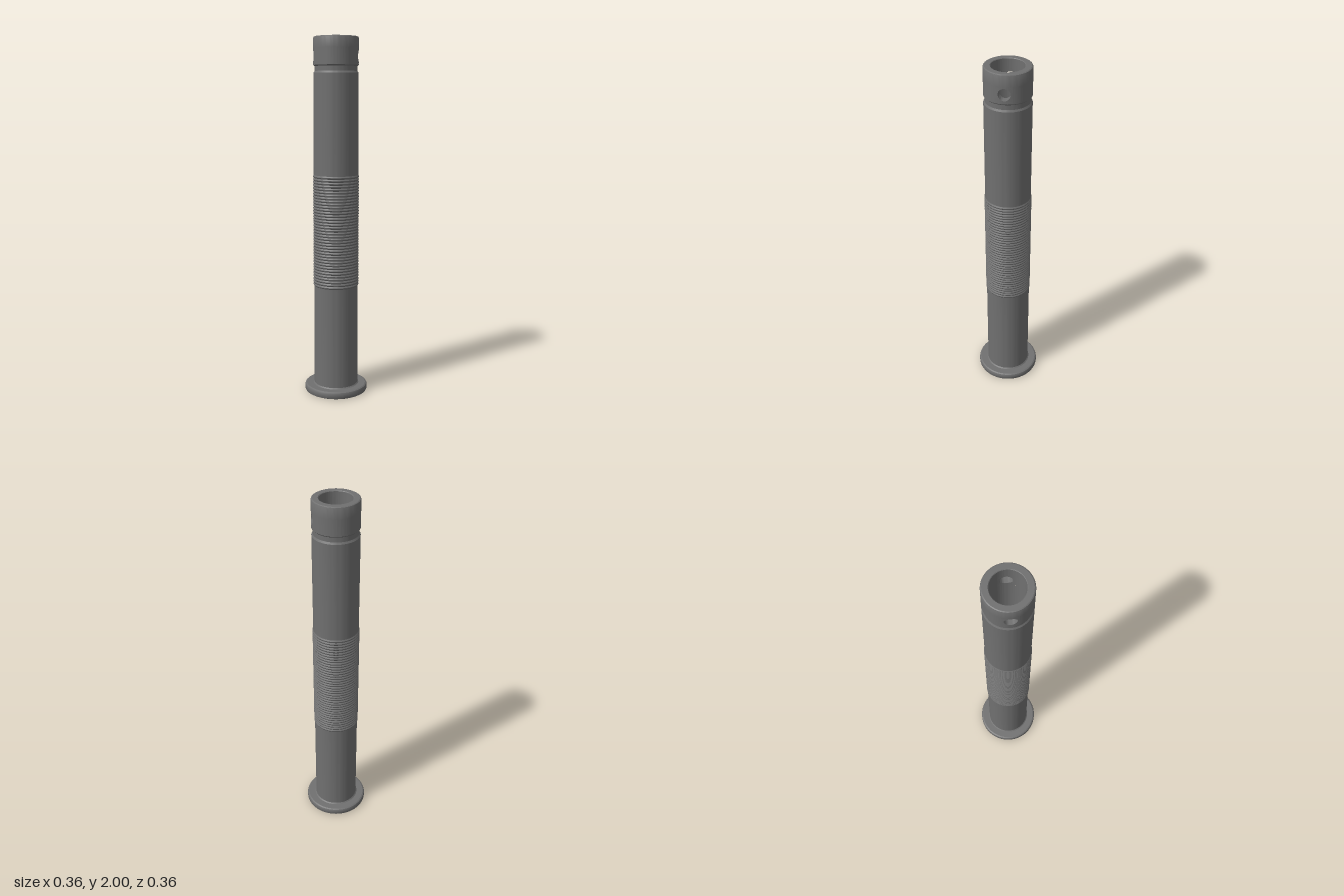
import * as THREE from 'three';
import { toCreasedNormals } from 'three/addons/utils/BufferGeometryUtils.js';

const R = 0.124;      // outer wall
const BORE = 0.086;   // inner wall
const HOLE_Y = 1.897, HOLE_R = 0.032, HALF = 0.042; // cross hole and its square patch
const Y0 = HOLE_Y - HALF, Y1 = HOLE_Y + HALF;

export function createModel() {
  const group = new THREE.Group();
  const metal = new THREE.MeshStandardMaterial({ color: 0x707070 });
  metal.name = 'darkGreyMetal';

  const add = (name, geometry) => {
    const mesh = new THREE.Mesh(toCreasedNormals(geometry, 0.45), metal);
    mesh.name = name;
    group.add(mesh);
    return mesh;
  };
  const lathe = (name, points, start = 0, length = Math.PI * 2, segments = 96) =>
    add(name, new THREE.LatheGeometry(points.map(([r, y]) => new THREE.Vector2(r, y)), segments, start, length));

  // Flange at the foot, with rounded rim
  lathe('flange', [
    [BORE, 0], [0.170, 0], [0.175, 0.003], [0.178, 0.010],
    [0.178, 0.030], [0.175, 0.037], [0.168, 0.041], [0.130, 0.041], [R, 0.047],
  ]);

  // Lower and upper plain barrel
  lathe('lowerBarrel', [[R, 0.047], [R, 0.62]]);
  lathe('upperBarrel', [[R, 1.25], [R, 1.806]]);

  // Fine ridges around the middle
  const ridges = [[R, 0.62]];
  const count = 39, pitch = 0.63 / count;
  for (let i = 0; i < count; i++) {
    const y = 0.62 + i * pitch;
    ridges.push([0.128, y + pitch * 0.4], [0.128, y + pitch * 0.6], [R, y + pitch]);
  }
  lathe('ridgedGrip', ridges);

  // Groove under the collar
  lathe('groove', [[R, 1.806], [0.118, 1.816], [0.118, 1.842], [R, 1.848], [R, Y0]]);

  // Collar top with bevelled rim
  lathe('collarRim', [[R, Y1], [R, 1.992], [0.122, 1.997], [0.117, 2], [0.089, 2], [BORE, 1.997], [BORE, Y1]]);

  // Bore
  lathe('bore', [[BORE, Y0], [BORE, 0]]);

  // Collar walls between the two cross holes
  for (const middle of [0, Math.PI]) {
    for (const [name, r, low, high] of [['collarWall', R, Y0, Y1], ['collarBore', BORE, Y1, Y0]]) {
      const half = Math.PI / 2 - Math.asin(HALF / r);
      lathe(name, [[r, low], [r, high]], middle - half, half * 2, 48);
    }
  }

  // Collar walls pierced by the cross hole, one on each side
  add('crossHoleLeft', piercedWall());
  add('crossHoleRight', piercedWall()).rotation.y = Math.PI;
  return group;
}

// Loops run from the outer square to the hole, through the wall, and back out along the bore
function piercedWall() {
  const N = 64;
  const loops = [[R, 0], [R, 0.5], [R, 1], [BORE, 1], [BORE, 0.5], [BORE, 0]];
  const positions = [], index = [];
  loops.forEach(([radius, round], j) => {
    for (let i = 0; i <= N; i++) {
      const a = (i / N) * Math.PI * 2, c = Math.cos(a), s = Math.sin(a);
      const square = HALF / Math.max(Math.abs(c), Math.abs(s));
      const d = THREE.MathUtils.lerp(square, HOLE_R, round);
      const z = -c * d;
      positions.push(Math.sqrt(radius * radius - z * z), HOLE_Y + s * d, z);
      if (j < loops.length - 1 && i < N) {
        const p = j * (N + 1) + i, q = p + N + 1;
        index.push(p, p + 1, q, p + 1, q + 1, q);
      }
    }
  });
  const geometry = new THREE.BufferGeometry();
  geometry.setAttribute('position', new THREE.Float32BufferAttribute(positions, 3));
  geometry.setIndex(index);
  return geometry;
}
